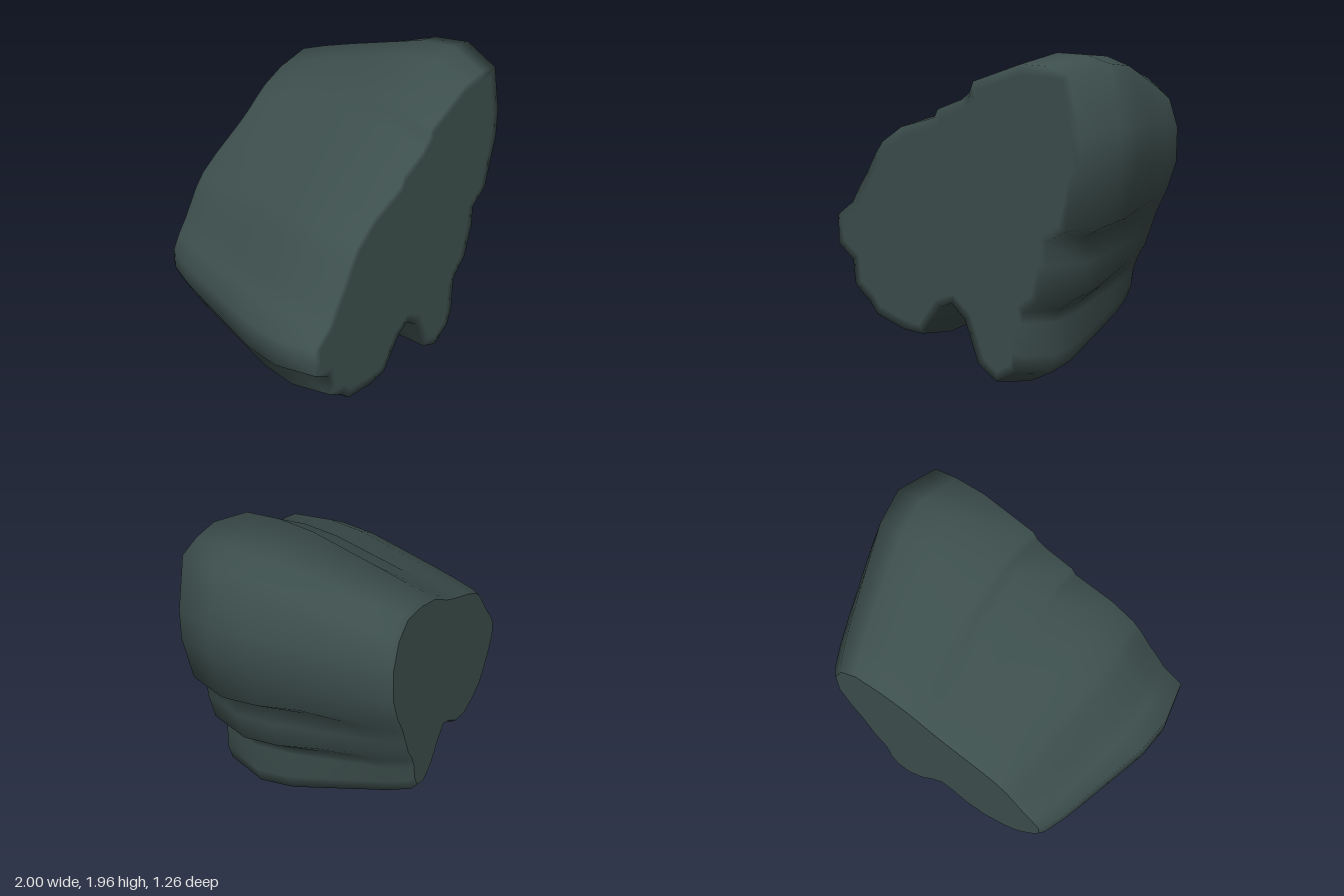
import * as THREE from 'three';

// Outline of the widest slice, clockwise as seen from the front
const OUTLINE = [
  [-1, .88], [-.86, .98], [-.8, 1.08], [-.72, 1.19], [-.65, 1.31], [-.58, 1.4], [-.41, 1.51], [-.13, 1.59],
  [-.1, 1.645], [.1, 1.72], [.16, 1.765], [.19, 1.835], [.56, 1.96], [.76, 1.96], [.92, 1.92], [1, 1.57],
  [1, 1.37], [.9, 1.01], [.76, .93], [.76, .78], [.69, .555], [.585, .475], [.56, .4], [.56, .2], [.52, .085],
  [.37, .005], [.22, .09], [.11, .355], [0, .44], [-.09, .4], [-.25, .2], [-.41, .2], [-.65, .26],
  [-.73, .345], [-.85, .43], [-.87, .595], [-1, .685],
].map(([x, y]) => new THREE.Vector2(x, y)).reverse();

// Slices from front to back: z, left and right edge, bottom, top, softening
const SLICES = [
  [.63, -.955, .905, .055, 1.91, 0],
  [.38, -1, 1, .005, 1.96, 0],
  [.16, -.975, .975, .03, 1.935, .05],
  [-.08, -.905, .905, .1, 1.865, .2],
  [-.3, -.84, .84, .165, 1.8, .35],
  [-.46, -.79, .79, .21, 1.75, .5],
  [-.6, -.735, .735, .265, 1.7, .55],
  [-.63, -.71, .71, .3, 1.67, .55],
];

const at = (pts, i) => pts[(i + pts.length) % pts.length];

// Soften the outline, then fit it to the extents of a slice
function slicePoints([, x0, x1, y0, y1, soft]) {
  const pts = OUTLINE.map((p, i) =>
    p.clone().lerp(at(OUTLINE, i - 1).clone().add(at(OUTLINE, i + 1)).multiplyScalar(.5), soft));
  const box = new THREE.Box2().setFromPoints(pts);
  return pts.map((p) => new THREE.Vector2(
    THREE.MathUtils.mapLinear(p.x, box.min.x, box.max.x, x0, x1),
    THREE.MathUtils.mapLinear(p.y, box.min.y, box.max.y, y0, y1)));
}

// Move a counter-clockwise outline inwards
function inset(pts, d) {
  return pts.map((p, i) => {
    const t = at(pts, i + 1).clone().sub(at(pts, i - 1)).normalize();
    return new THREE.Vector2(p.x - t.y * d, p.y + t.x * d);
  });
}

function makeGeometry(rings, index) {
  const g = new THREE.BufferGeometry();
  const pos = rings.flatMap(({ pts, z }) => pts.flatMap((p) => [p.x, p.y, z]));
  g.setAttribute('position', new THREE.Float32BufferAttribute(pos, 3));
  g.setIndex(index);
  g.computeVertexNormals();
  return g;
}

export function createModel() {
  const group = new THREE.Group();
  const material = new THREE.MeshStandardMaterial({ color: 0x3d4f4d });
  const add = (name, geometry) => {
    const mesh = new THREE.Mesh(geometry, material);
    mesh.name = name;
    group.add(mesh);
  };

  const rings = SLICES.map((s) => ({ pts: slicePoints(s), z: s[0] }));
  const back = rings[rings.length - 1];
  // Inner ring on the front face, so its rim shades softly into the sides
  rings.unshift({ pts: inset(rings[0].pts, .06), z: rings[0].z });

  // Front face and sides in one smooth skin
  const n = OUTLINE.length;
  const index = THREE.ShapeUtils.triangulateShape(rings[0].pts, []).flat();
  for (let k = 0; k < rings.length - 1; k++) {
    for (let i = 0; i < n; i++) {
      const j = (i + 1) % n;
      const a = k * n + i, b = k * n + j, c = a + n, d = b + n;
      index.push(a, c, b, b, c, d);
    }
  }
  add('rockBody', makeGeometry(rings, index));

  // Flat cut at the back
  const cap = THREE.ShapeUtils.triangulateShape(back.pts, []).flatMap(([a, b, c]) => [a, c, b]);
  add('backFace', makeGeometry([back], cap));
  return group;
}
